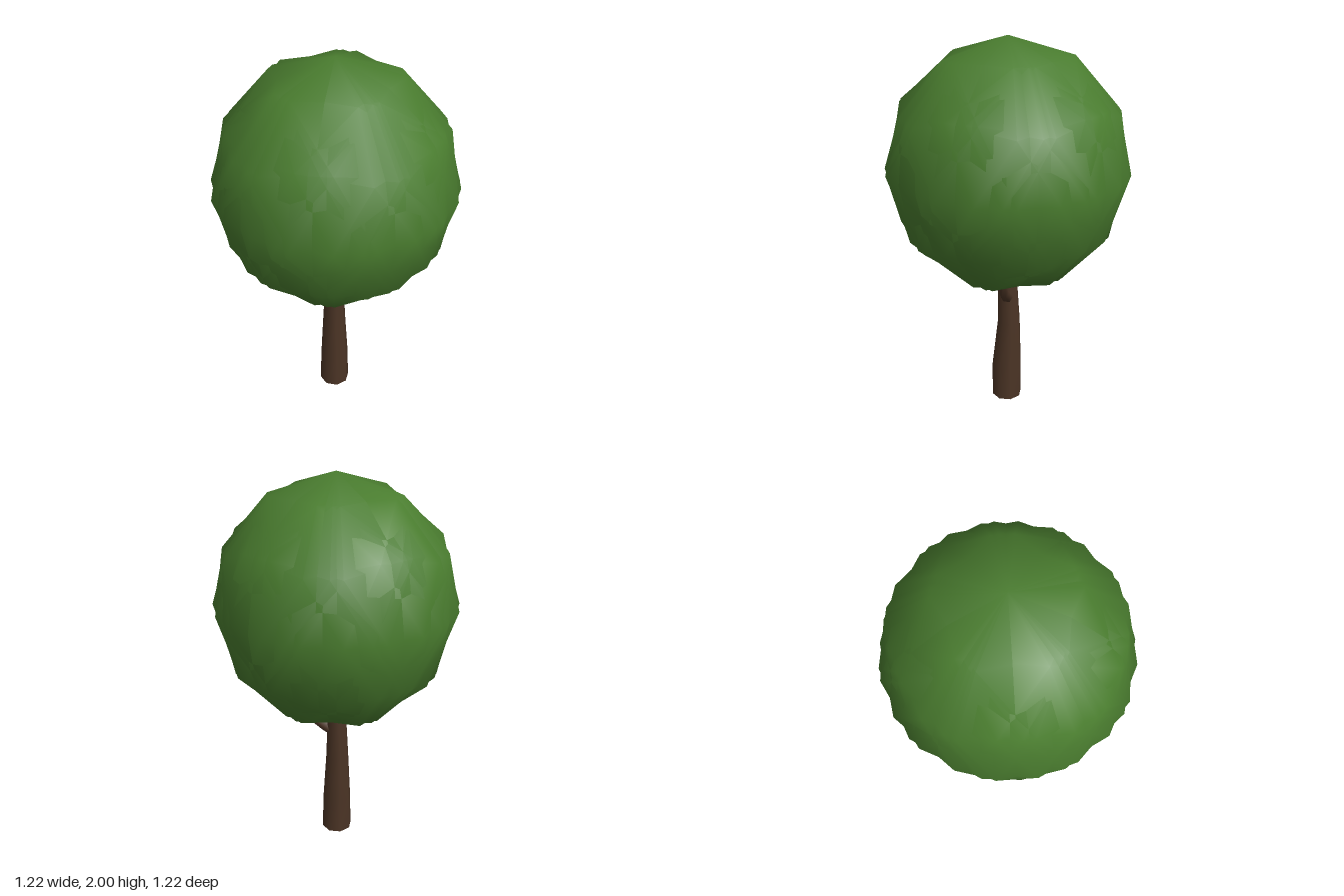
import * as THREE from 'three';

const leafGreen = new THREE.MeshStandardMaterial({ color: 0x4a7d2f });
leafGreen.name = 'leafGreen';
const barkBrown = new THREE.MeshStandardMaterial({ color: 0x4b3425 });
barkBrown.name = 'barkBrown';

// Lofted limb: each ring is [x, y, z, radiusX, radiusZ, tilt about z]
function limb(name, rings, sides) {
  const positions = [], index = [];
  const corner = (i, j) => i * sides + (j % sides);
  for (const [x, y, z, rx, rz, tilt] of rings) {
    for (let j = 0; j < sides; j++) {
      const a = ((j + 0.5) / sides) * Math.PI * 2;
      const u = Math.cos(a) * rx;
      positions.push(x + u * Math.cos(tilt), y + u * Math.sin(tilt), z + Math.sin(a) * rz);
    }
  }
  for (let i = 0; i < rings.length - 1; i++) {
    for (let j = 0; j < sides; j++) {
      const a = corner(i, j), b = corner(i, j + 1), c = corner(i + 1, j), d = corner(i + 1, j + 1);
      index.push(a, c, b, b, c, d);
    }
  }
  // Separate end caps keep the rims crisp
  for (const [r, flip] of [[0, false], [rings.length - 1, true]]) {
    const start = positions.length / 3;
    for (let j = 0; j < sides; j++) {
      const k = corner(r, j) * 3;
      positions.push(positions[k], positions[k + 1], positions[k + 2]);
    }
    for (let j = 1; j < sides - 1; j++) {
      index.push(start, start + (flip ? j + 1 : j), start + (flip ? j : j + 1));
    }
  }
  const geometry = new THREE.BufferGeometry();
  geometry.setAttribute('position', new THREE.Float32BufferAttribute(positions, 3));
  geometry.setIndex(index);
  geometry.computeVertexNormals();
  const mesh = new THREE.Mesh(geometry, barkBrown);
  mesh.name = name;
  return mesh;
}

// Faceted ball with a corner pointing straight up, turned about y
function leafBall(turn, flip) {
  const geometry = new THREE.IcosahedronGeometry(1, 1);
  geometry.rotateZ(-Math.atan(2 / (1 + Math.sqrt(5))));
  if (flip) geometry.rotateX(Math.PI);
  geometry.rotateY(THREE.MathUtils.degToRad(turn));
  geometry.scale(0.613, 0.64, 0.613);
  return new THREE.Mesh(geometry, leafGreen);
}

export function createModel() {
  const tree = new THREE.Group();
  tree.name = 'tree';

  // Crown: overlapping balls give a crumpled, faceted leaf surface
  const crown = new THREE.Group();
  crown.name = 'crown';
  [[12, false], [-12, true], [102, false]].forEach(([turn, flip], i) => {
    const ball = leafBall(turn, flip);
    ball.name = `leafBall${i + 1}`;
    crown.add(ball);
  });
  crown.position.y = 1.36;
  tree.add(crown);

  // Trunk, slightly crooked and narrowing upward
  tree.add(limb('trunk', [
    [-0.003, 0, 0.008, 0.082, 0.082, 0],
    [-0.003, 0.2, 0.008, 0.077, 0.082, 0],
    [-0.007, 0.47, -0.003, 0.062, 0.062, 0],
    [-0.004, 0.72, 0.004, 0.05, 0.053, 0],
    [-0.004, 0.86, 0.004, 0.045, 0.045, 0],
  ], 8));

  // Side branch, bending up into the crown
  tree.add(limb('branch', [
    [0.01, 0.62, 0, 0.032, 0.032, -0.9],
    [0.06, 0.65, 0, 0.03, 0.03, -1.0],
    [0.145, 0.71, 0, 0.025, 0.025, -0.75],
    [0.185, 0.79, 0, 0.018, 0.018, -0.4],
    [0.22, 0.88, 0, 0.012, 0.012, -0.4],
  ], 6));

  return tree;
}
